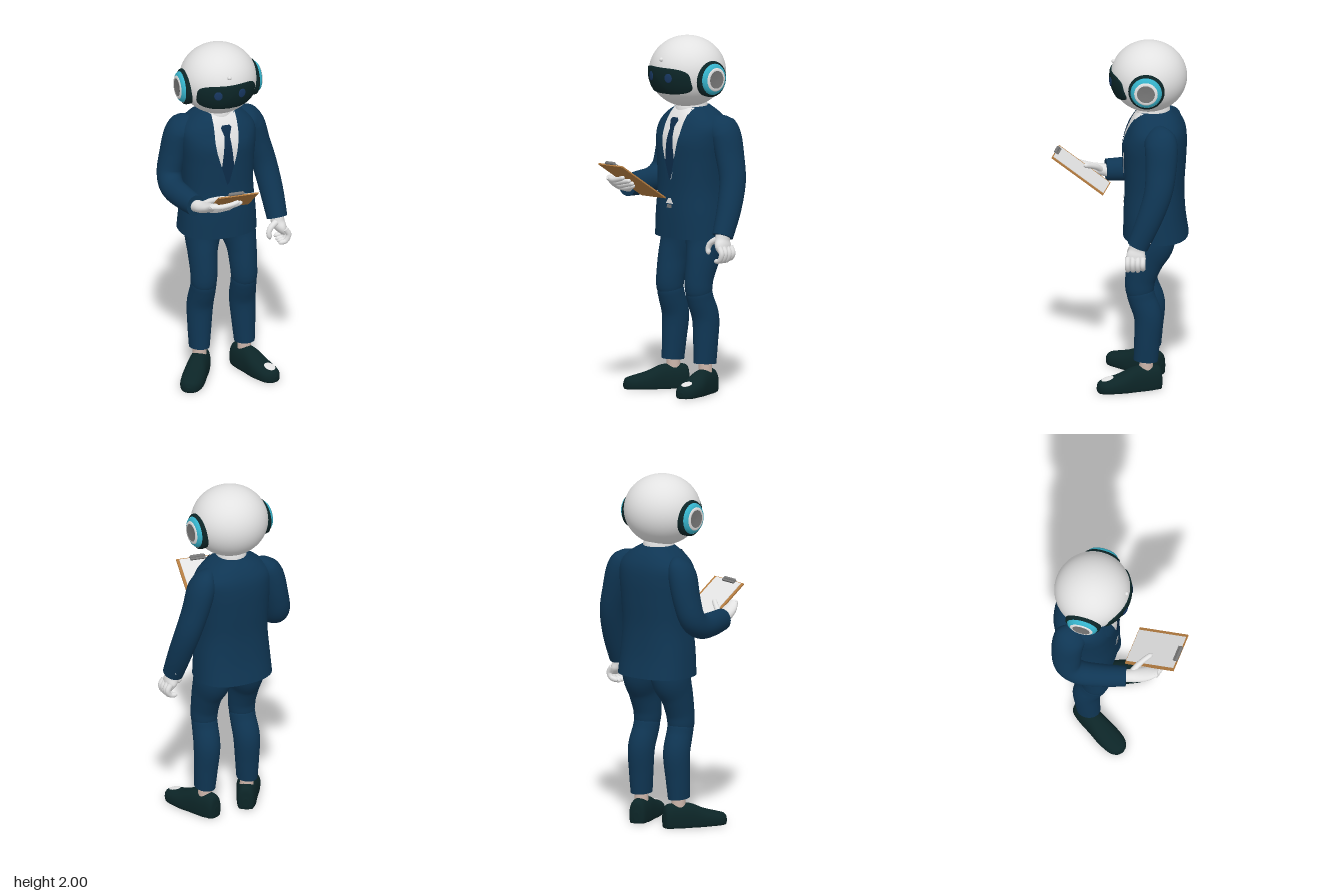
import * as THREE from 'three';

const V = (x, y, z) => new THREE.Vector3(x, y, z);
const X = V(1, 0, 0), Y = V(0, 1, 0), Z = V(0, 0, 1);

export function createModel() {
  const root = new THREE.Group();
  const mat = (name, color, side = THREE.FrontSide) => {
    const m = new THREE.MeshStandardMaterial({ color, side });
    m.name = name;
    return m;
  };
  const white = mat('white', 0xe2e2e2, THREE.DoubleSide);
  const navy = mat('navy cloth', 0x0f3654, THREE.DoubleSide);
  const tieBlue = mat('tie blue', 0x0c2c4a, THREE.DoubleSide);
  const black = mat('green black', 0x0c2527);
  const cyan = mat('cyan', 0x36b2ca);
  const grey = mat('grey', 0x777777, THREE.DoubleSide);
  const brown = mat('board brown', 0xb47c40);
  const skin = mat('ankle skin', 0xccb5aa);
  const eyeBlue = mat('eye blue', 0x17365f);

  const add = (name, geo, material, parent = root) => {
    const m = new THREE.Mesh(geo, material);
    m.name = name;
    parent.add(m);
    return m;
  };
  const group = (name, parent = root) => {
    const g = new THREE.Group();
    g.name = name;
    parent.add(g);
    return g;
  };

  // Closed rings of points joined into a smooth skin
  const skinRings = (rings, wrap = true) => {
    const n = rings[0].length, idx = [];
    for (let i = 0; i < rings.length - 1; i++)
      for (let j = 0; j < (wrap ? n : n - 1); j++) {
        const a = i * n + j, b = i * n + (j + 1) % n;
        idx.push(a, b, b + n, a, b + n, a + n);
      }
    const g = new THREE.BufferGeometry().setFromPoints(rings.flat());
    g.setIndex(idx);
    g.computeVertexNormals();
    return g;
  };

  // Limb through sections [x, y, z, r1, r2]
  const curves = pts => [
    new THREE.CatmullRomCurve3(pts.map(p => V(p[0], p[1], p[2])), false, 'catmullrom'),
    new THREE.CatmullRomCurve3(pts.map(p => V(p[3], p[4] ?? p[3], 0)), false, 'catmullrom')];
  const limb = (pts, { ref = X, axis, k = 1, sides = 32 } = {}) => {
    const [path, rad] = curves(pts), steps = (pts.length - 1) * 6, rings = [];
    const pw = v => Math.sign(v) * Math.abs(v) ** k;
    for (let i = 0; i <= steps; i++) {
      const u = i / steps, c = path.getPoint(u), r = rad.getPoint(u);
      const t = axis ?? path.getTangent(u);
      const b = t.clone().cross(ref).normalize(), a = b.clone().cross(t);
      const ring = Array.from({ length: sides }, (_, j) => {
        const q = j / sides * Math.PI * 2;
        return c.clone().addScaledVector(a, pw(Math.cos(q)) * r.x).addScaledVector(b, pw(Math.sin(q)) * r.y);
      });
      const tip = () => ring.map(() => c.clone()), copy = () => ring.map(p => p.clone());
      if (i === 0) rings.push(tip(), copy());
      rings.push(ring);
      if (i === steps) rings.push(copy(), tip());
    }
    return skinRings(rings);
  };
  // Finger with a rounded tip; points only
  const finger = (pts, r, ref) => {
    const p = pts.map((q, i) => [...q, r * (1 - 0.08 * i)]);
    const e = pts[pts.length - 1], d = pts[pts.length - 2];
    const dir = V(...e).sub(V(...d)).normalize();
    p.push([...V(...e).addScaledVector(dir, r * 0.8).toArray(), r * 0.25]);
    return limb(p, { ref, sides: 14 });
  };

  // Jacket body
  const K = 0.82, CX = -0.03;
  const body = [[0.87, -0.195, 0.222, 0.182], [1.0, -0.187, 0.213, 0.172], [1.15, -0.187, 0.2, 0.166],
    [1.3, -0.19, 0.205, 0.172], [1.42, -0.192, 0.215, 0.175], [1.5, -0.2, 0.21, 0.158],
    [1.56, -0.2, 0.158, 0.128], [1.605, -0.195, 0.086, 0.09]]
    .map(([y, z, rx, rz]) => [CX, y, z, rx, rz]);
  add('jacketBody', limb(body, { axis: Y, k: K, sides: 64 }), navy);

  // Point on the jacket front, lifted by off
  const [bodyPath, bodyRad] = curves(body);
  const front = (x, y, off) => {
    let lo = 0, hi = 1;
    for (let i = 0; i < 24; i++) {
      const m = (lo + hi) / 2;
      if (bodyPath.getPoint(m).y < y) lo = m; else hi = m;
    }
    const c = bodyPath.getPoint(lo), r = bodyRad.getPoint(lo);
    const s = Math.max(0, 1 - Math.abs((x - CX) / r.x) ** (2 / K));
    return V(x, y, c.z + r.y * s ** (K / 2) + off);
  };
  // Thin plate on the jacket front, rows [y, xLeft, xRight] from low to high
  const plate = (rows, off) => {
    const rings = [];
    for (let i = 0; i < rows.length - 1; i++)
      for (let s = 0; s <= 6; s++) {
        const [y, l, r] = rows[i].map((v, c) => THREE.MathUtils.lerp(v, rows[i + 1][c], s / 6));
        rings.push(Array.from({ length: 11 }, (_, j) => front(l + (r - l) * j / 10, y, off)));
      }
    return skinRings(rings, false);
  };
  add('shirtFront', plate([[1.2, -0.03, -0.02], [1.3, -0.068, 0.012], [1.4, -0.09, 0.032],
    [1.5, -0.098, 0.048], [1.6, -0.09, 0.05]], 0.004), white);
  add('tie', plate([[1.2, -0.03, -0.02], [1.3, -0.062, 0.012], [1.36, -0.055, 0.006], [1.5, -0.04, -0.01]], 0.008), tieBlue);
  add('tieKnot', plate([[1.49, -0.04, -0.01], [1.535, -0.055, 0.007], [1.548, -0.045, -0.003]], 0.011), tieBlue);
  add('rightLapel', plate([[1.2, -0.035, -0.03], [1.4, -0.14, -0.088], [1.46, -0.165, -0.096], [1.57, -0.12, -0.092]], 0.009), navy);
  add('leftLapel', plate([[1.2, -0.025, -0.02], [1.4, 0.08, 0.032], [1.46, 0.105, 0.044], [1.57, 0.06, 0.048]], 0.009), navy);
  add('shirtGap', plate([[1.065, -0.06, 0], [1.095, -0.04, -0.02]], 0.004), white);
  add('beltBuckle', plate([[1.04, -0.05, -0.01], [1.06, -0.05, -0.01]], 0.005), grey);
  add('shirtCollar', limb([[CX, 1.5, -0.17, 0.085, 0.09], [CX, 1.57, -0.178, 0.087, 0.094],
    [CX, 1.61, -0.182, 0.084, 0.092], [CX, 1.66, -0.18, 0.075, 0.08]]), white);

  // Head, visor and eyes
  const H = V(-0.035, 1.8, -0.155);
  const head = group('head');
  const skull = add('skull', new THREE.SphereGeometry(1, 64, 48), white, head);
  skull.position.copy(H);
  skull.scale.set(0.217, 0.2, 0.214);
  const visorPoint = (dx, y, off) => V(H.x + dx, y,
    H.z + off + 0.222 * Math.sqrt(Math.max(0, 1 - (dx / 0.222) ** 2 - ((y - H.y) / 0.207) ** 2)));
  const visorRing = (s, off) => Array.from({ length: 64 }, (_, j) => {
    const q = j / 32 * Math.PI, f = v => Math.sign(v) * Math.abs(v) ** 0.55;
    return visorPoint(s * 0.17 * f(Math.cos(q)), 1.765 + s * 0.075 * f(Math.sin(q)), off);
  });
  add('visor', skinRings([visorRing(1, -0.04), visorRing(1, -0.002),
    ...[0.98, 0.85, 0.7, 0.5, 0.25, 0].map(s => visorRing(s, 0))]), black, head);
  for (const s of [-1, 1]) {
    const eye = add(s < 0 ? 'rightEye' : 'leftEye', new THREE.SphereGeometry(1, 24, 12), eyeBlue, head);
    eye.position.copy(visorPoint(s * 0.07, 1.785, 0));
    eye.rotation.y = s * 0.32;
    eye.scale.set(0.024, 0.026, 0.004);
  }
  const stud = add('foreheadStud', new THREE.SphereGeometry(0.012, 16, 12), white, head);
  stud.position.set(H.x, 1.882, 0.042);

  // Ear pads, turned profiles by colour
  const pad = [['rim', black, [[0.098, -0.06], [0.102, 0], [0.1, 0.012], [0.088, 0.02]]],
    ['ring', cyan, [[0.088, 0.018], [0.084, 0.028], [0.076, 0.036], [0.066, 0.04]]],
    ['inner', white, [[0.066, 0.04], [0.06, 0.045], [0.05, 0.045]]],
    ['cap', grey, [[0.05, 0.045], [0.03, 0.043], [0, 0.042]]]];
  for (const s of [-1, 1]) {
    const ear = group(s < 0 ? 'rightEarPad' : 'leftEarPad', head);
    ear.position.set(H.x + s * 0.198, 1.775, -0.155);
    ear.rotation.z = -s * Math.PI / 2;
    for (const [n, m, p] of pad)
      add(n, new THREE.LatheGeometry(p.map(q => new THREE.Vector2(...q)), 48), m, ear);
  }

  // Sleeves
  add('leftSleeve', limb([[0.11, 1.535, -0.21, 0.03, 0.04], [0.16, 1.5, -0.225, 0.06, 0.085],
    [0.19, 1.45, -0.24, 0.075, 0.092], [0.225, 1.33, -0.24, 0.072, 0.086], [0.262, 1.2, -0.225, 0.07, 0.078],
    [0.287, 1.05, -0.175, 0.066, 0.07], [0.3, 0.905, -0.115, 0.058, 0.06]]), navy);
  add('rightSleeve', limb([[-0.17, 1.535, -0.21, 0.03, 0.04], [-0.215, 1.5, -0.225, 0.06, 0.085],
    [-0.245, 1.45, -0.237, 0.075, 0.09], [-0.275, 1.33, -0.24, 0.072, 0.085], [-0.3, 1.22, -0.222, 0.07, 0.076],
    [-0.305, 1.165, -0.15, 0.068, 0.07], [-0.285, 1.155, -0.03, 0.064, 0.068], [-0.255, 1.155, 0.1, 0.057, 0.062]]), navy);
  for (const y of [0.935, 0.96])
    add('cuffButton', new THREE.SphereGeometry(0.008, 10, 8), white).position.set(0.32, y, -0.183);

  // Left hand, hanging with curled fingers
  const leftHand = group('leftHand');
  add('palm', limb([[0.3, 0.93, -0.12, 0.04, 0.042], [0.302, 0.885, -0.112, 0.038, 0.045],
    [0.315, 0.85, -0.106, 0.034, 0.054], [0.335, 0.815, -0.103, 0.02, 0.045]]), white, leftHand);
  for (let i = 0; i < 4; i++) {
    const z = -0.062 - i * 0.028, d = i === 3 ? 0.008 : 0;
    add('finger', finger([[0.33, 0.85, z], [0.35, 0.815, z], [0.335, 0.778 + d, z], [0.305, 0.77 + d, z]], 0.017, Z), white, leftHand);
  }
  add('thumb', finger([[0.285, 0.89, -0.085], [0.25, 0.868, -0.072], [0.235, 0.84, -0.066], [0.238, 0.815, -0.064]], 0.018, Z), white, leftHand);

  // Clipboard frame: x across, y toward the clip, z out of the underside
  const u = V(0.225, 0.01, 0.025).normalize(), n = u.clone().cross(V(-0.04, 0.2, 0.29)).normalize();
  const basis = new THREE.Matrix4().makeBasis(u, n.clone().cross(u), n);
  const tilted = name => {
    const g = group(name);
    g.quaternion.setFromRotationMatrix(basis);
    g.position.set(-0.075, 1.213, 0.2275);
    return g;
  };
  const board = tilted('clipboard');
  add('board', new THREE.BoxGeometry(0.227, 0.355, 0.008), brown, board);
  add('paper', new THREE.BoxGeometry(0.195, 0.345, 0.003), white, board).position.z = -0.0055;
  add('clipPlate', new THREE.BoxGeometry(0.09, 0.025, 0.012), grey, board).position.set(-0.01, 0.168, -0.01);
  const roll = add('clipRoll', new THREE.CapsuleGeometry(0.01, 0.07, 6, 16), grey, board);
  roll.rotation.z = Math.PI / 2;
  roll.position.set(-0.01, 0.176, -0.012);

  // Right hand gripping the board
  const rightHand = tilted('rightHand');
  add('palm', limb([[-0.198, -0.14, -0.026, 0.036, 0.034], [-0.185, -0.1, -0.012, 0.038, 0.034],
    [-0.163, -0.05, 0.008, 0.043, 0.03], [-0.14, 0.005, 0.02, 0.042, 0.024], [-0.125, 0.06, 0.022, 0.025, 0.015]]), white, rightHand);
  for (let i = 0; i < 4; i++) {
    const s = 0.055 - i * 0.031, e = [0.02, 0.04, 0.035, 0.01][i];
    add('finger', finger([[-0.15, s - 0.01, 0.022], [-0.09, s, 0.034], [-0.03, s + 0.01, 0.03], [e - 0.012, s + 0.014, 0.021]], 0.016, Y), white, rightHand);
  }
  add('thumb', finger([[-0.17, -0.1, -0.012], [-0.125, -0.065, -0.025], [-0.085, -0.035, -0.026], [-0.05, -0.008, -0.022]], 0.018, Z), white, rightHand);

  // Legs and shoes; the right side mirrors about the body's middle
  const shin = [[0.118, 0.165, -0.148, 0.057, 0.068], [0.115, 0.28, -0.155, 0.066, 0.072],
    [0.11, 0.42, -0.16, 0.074, 0.078], [0.105, 0.52, -0.128, 0.072, 0.077], [0.104, 0.57, -0.115, 0.07, 0.076], [0.104, 0.6, -0.115, 0.055, 0.06]];
  const thigh = [[0.104, 0.55, -0.112, 0.066, 0.07], [0.104, 0.585, -0.112, 0.073, 0.08],
    [0.102, 0.65, -0.118, 0.076, 0.086], [0.1, 0.75, -0.145, 0.083, 0.102], [0.087, 0.85, -0.18, 0.101, 0.125], [0.07, 0.96, -0.19, 0.1, 0.125]];
  const shoeSections = [[0, 0.04, -0.09, 0.015, 0.025], [0, 0.045, -0.075, 0.045, 0.08], [0, 0.04, -0.01, 0.056, 0.096],
    [0, 0.038, 0.07, 0.06, 0.092], [0, 0.03, 0.15, 0.066, 0.066], [0, 0.025, 0.23, 0.06, 0.048], [0, 0.024, 0.27, 0.038, 0.036], [0, 0.022, 0.284, 0.01, 0.012]];
  const shoe = limb(shoeSections, { axis: Z, k: 0.85 });
  const sp = shoe.attributes.position;
  for (let i = 0; i < sp.count; i++) sp.setY(i, Math.max(0, sp.getY(i)));
  shoe.computeVertexNormals();
  for (const s of [1, -1]) {
    const leg = group(s > 0 ? 'leftLeg' : 'rightLeg');
    const side = pts => pts.map(([x, ...r]) => [s > 0 ? x : -0.03 - x, ...r]);
    add('lowerTrouser', limb(side(shin)), navy, leg);
    add('upperTrouser', limb(side(thigh)), navy, leg);
    const foot = group('foot', leg);
    foot.position.set(s > 0 ? 0.118 : -0.146, 0, -0.15);
    foot.rotation.y = s > 0 ? 0.34 : -0.55;
    add('shoe', shoe, black, foot);
    add('ankle', new THREE.CylinderGeometry(0.036, 0.04, 0.12, 24), skin, foot).position.y = 0.15;
    // Pale patch on the left toe
    if (s > 0) {
      const patch = add('toePatch', new THREE.SphereGeometry(1, 20, 12), white, foot);
      patch.position.set(0.003, 0.0765, 0.225);
      patch.rotation.x = 0.27;
      patch.scale.set(0.03, 0.004, 0.036);
    }
  }
  return root;
}
